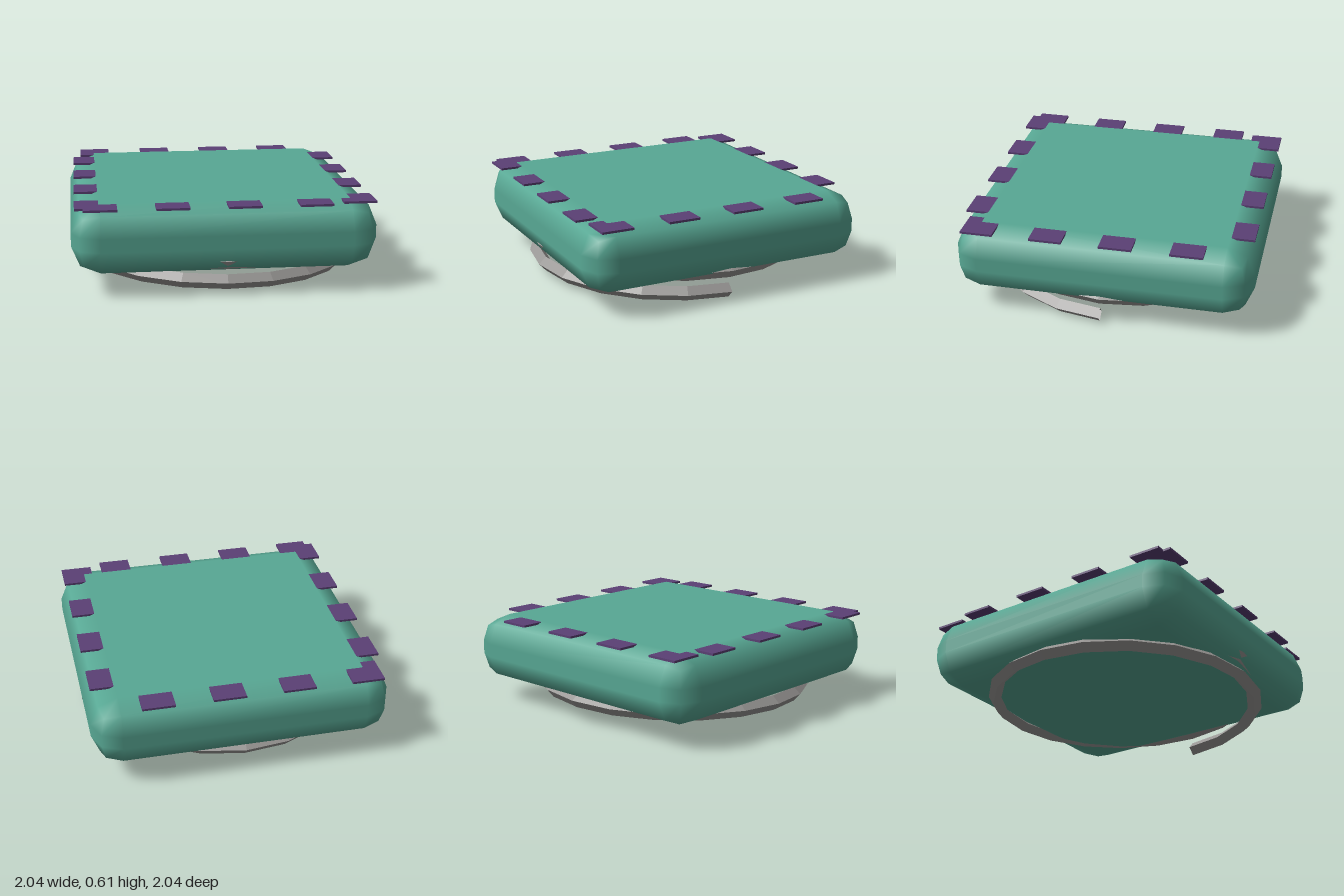
import * as THREE from 'three';
import { RoundedBoxGeometry } from 'three/addons/geometries/RoundedBoxGeometry.js';

const mat = (name, color, extra = {}) => {
  const m = new THREE.MeshStandardMaterial({ color, ...extra });
  m.name = name;
  return m;
};

// Rising coil that starts at +x and passes the front first
class Helix extends THREE.Curve {
  constructor(radius, startY, pitch, turns) {
    super();
    Object.assign(this, { radius, startY, pitch, turns });
  }
  getPoint(t, target = new THREE.Vector3()) {
    const a = t * this.turns * Math.PI * 2;
    return target.set(
      Math.cos(a) * this.radius,
      this.startY + t * this.turns * this.pitch,
      Math.sin(a) * this.radius
    );
  }
}

export function createModel() {
  const group = new THREE.Group();
  const teal = mat('teal fabric', 0x58a894);
  const purple = mat('purple patch', 0x5b4075);
  const steel = mat('grey steel', 0x989694, { flatShading: true, side: THREE.DoubleSide });

  const add = (name, geometry, material, x, y, z) => {
    const mesh = new THREE.Mesh(geometry, material);
    mesh.name = name;
    mesh.position.set(x, y, z);
    group.add(mesh);
  };

  // Soft square cushion
  add('cushion', new RoundedBoxGeometry(2.036, 0.472, 2.036, 1, 0.19), teal, 0, 0.372, 0);

  // Square-section spring, its upper end sunk in the cushion
  const turns = 1.5;
  const coil = new Helix(0.94, 0.05, 0.14, turns);
  add('spring', new THREE.TubeGeometry(coil, 20 * turns, 0.05, 4, false), steel, 0, 0, 0);

  // Trim patches around the top edge
  const patch = new THREE.BoxGeometry(0.22, 0.015, 0.22);
  for (let i = 0; i < 4; i++) {
    const along = -0.826 + i * 0.47;
    for (const side of [-1, 1]) {
      add('rowPatch', patch, purple, along, 0.598, side * 0.88);
      add('columnPatch', patch, purple, side * 0.882, 0.598, -along);
    }
  }
  return group;
}
